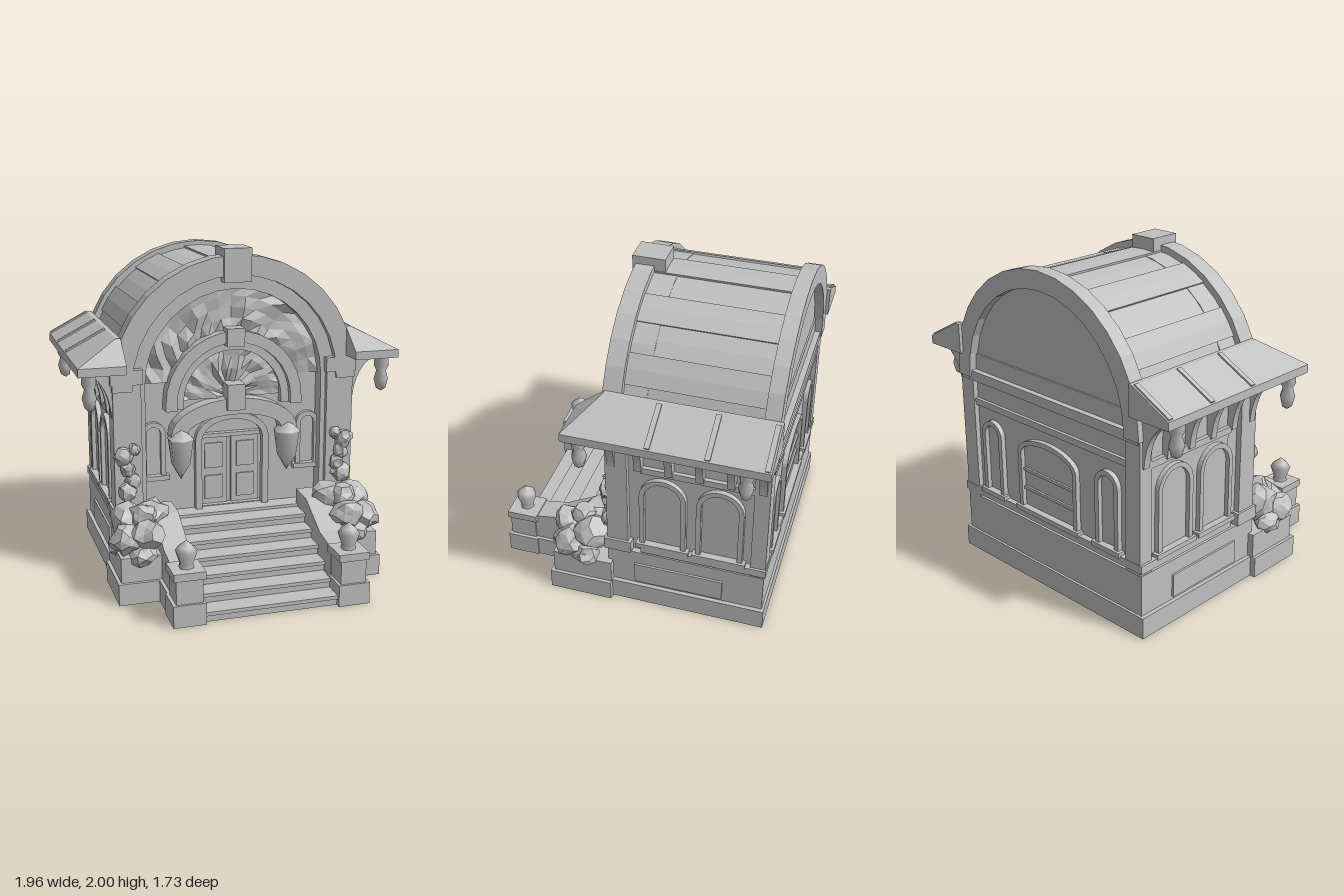
import * as THREE from 'three';

const stone = new THREE.MeshStandardMaterial({ color: 0xc0c0c0 });
stone.name = 'pale stone';
const PI = Math.PI;

// repeatable noise from a position, -1..1
const hash = (x, y, z) => {
  const s = Math.sin(Math.round(x * 500) * 12.99 + Math.round(y * 500) * 78.23 + Math.round(z * 500) * 37.72) * 43758.5;
  return (s - Math.floor(s)) * 2 - 1;
};

// arched outline standing on yb, springing at cy
function archShape(r, cy, yb, n = r) {
  const s = new THREE.Shape();
  s.moveTo(r, yb);
  s.lineTo(r, cy);
  s.absellipse(0, cy, r, n, 0, PI, false);
  s.lineTo(-r, yb);
  return s;
}

// arched band: outer radius, inner radius, spring height, foot height, rise ratio
function bandShape(ro, ri, cy, yb, k = 1) {
  const s = new THREE.Shape();
  s.moveTo(ro, yb);
  s.lineTo(ro, cy);
  for (let i = 1; i <= 16; i++) s.lineTo(ro * Math.cos(PI * i / 16), cy + k * ro * Math.sin(PI * i / 16));
  s.lineTo(-ro, yb);
  s.lineTo(-ri, yb);
  for (let i = 16; i >= 0; i--) s.lineTo(ri * Math.cos(PI * i / 16), cy + (ro * k - (ro - ri)) * Math.sin(PI * i / 16));
  s.lineTo(ri, yb);
  return s;
}

const extrude = (shape, depth) =>
  new THREE.ExtrudeGeometry(shape, { depth, bevelEnabled: false, curveSegments: 10 });

export function createModel() {
  const model = new THREE.Group();
  model.name = 'archedShrine';

  const add = (name, geo, x = 0, y = 0, z = 0, parent = model) => {
    const m = new THREE.Mesh(geo, stone);
    m.name = name;
    m.position.set(x, y, z);
    parent.add(m);
    return m;
  };
  // box from its limits
  const box = (name, x0, x1, y0, y1, z0, z1, parent = model) =>
    add(name, new THREE.BoxGeometry(Math.abs(x1 - x0), y1 - y0, z1 - z0), (x0 + x1) / 2, (y0 + y1) / 2, (z0 + z1) / 2, parent);
  // lumpy faceted ball for leaves
  const blob = (name, x, y, z, rx, ry, rz) => {
    const g = new THREE.IcosahedronGeometry(1, 1), p = g.attributes.position;
    for (let i = 0; i < p.count; i++) {
      const a = p.getX(i), b = p.getY(i), c = p.getZ(i);
      const k = 1 + 0.2 * hash(a + x, b + y, c + z);
      p.setXYZ(i, a * k * rx, b * k * ry, c * k * rz);
    }
    g.computeVertexNormals();
    add(name, g, x, y, z);
  };
  // arched window with frame, mullion and sill
  const archWindow = (w, yb, cy, k, x, z, rot, bars) => {
    const g = new THREE.Group();
    g.name = 'archedWindow';
    g.position.set(x, 0, z);
    g.rotation.y = rot;
    add('windowFrame', extrude(bandShape(w, w - 0.03, cy, yb, k), 0.035), 0, 0, 0, g);
    add('windowPane', extrude(archShape(w - 0.02, cy, yb, w * k - 0.02), 0.008), 0, 0, 0, g);
    box('windowSill', -w - 0.02, w + 0.02, yb - 0.03, yb, 0, 0.05, g);
    if (bars) {
      for (const b of [0.33, 0.67]) box('windowBar', -w + 0.02, w - 0.02, yb + (cy - yb) * b - 0.01, yb + (cy - yb) * b + 0.01, 0, 0.02, g);
    }
    model.add(g);
  };

  // plinth and walls
  box('footing', -0.78, 0.78, 0, 0.13, -0.84, 0.15);
  box('plinth', -0.755, 0.755, 0.13, 0.38, -0.825, 0.13);
  box('walls', -0.725, 0.725, 0.38, 1.32, -0.80, -0.08);
  box('plinthLedge', -0.765, 0.765, 0.4, 0.45, -0.835, -0.08);
  box('wallCornice', -0.75, 0.75, 1.0, 1.04, -0.82, -0.08);
  box('backCornice', -0.74, 0.74, 1.16, 1.22, -0.835, -0.7);
  add('vaultCore', extrude(archShape(0.69, 1.2, 1.15), 0.72), 0, 0, -0.79);

  // roof planks following the vault
  for (let i = 0; i < 11; i++) {
    const a0 = PI * (0.07 + 0.86 * i / 11), a1 = PI * (0.07 + 0.86 * (i + 1) / 11);
    const r = 0.715 + (i % 2) * 0.012, s = new THREE.Shape();
    s.moveTo(0.66 * Math.cos(a0), 0.66 * Math.sin(a0));
    for (const a of [a0, (a0 + a1) / 2, a1]) s.lineTo(r * Math.cos(a), r * Math.sin(a));
    s.lineTo(0.66 * Math.cos(a1), 0.66 * Math.sin(a1));
    add('roofPlank', extrude(s, 0.86), 0, 1.2, -0.80);
  }

  // end arches of the roof
  add('backArch', extrude(bandShape(0.755, 0.645, 1.2, 1.18), 0.09), 0, 0, -0.845);
  add('frontArchInner', extrude(bandShape(0.72, 0.555, 1.2, 0.38), 0.20), 0, 0, -0.10);
  add('frontArchOuter', extrude(bandShape(0.76, 0.64, 1.2, 1.18), 0.11), 0, 0, 0.035);
  box('roofKeystone', -0.085, 0.085, 1.80, 2.0, -0.03, 0.165);

  // recessed front wall and its rough stonework
  const recess = archShape(0.57, 1.2, 0.38);
  recess.holes.push(archShape(0.21, 0.82, 0.385, 0.15));
  add('frontWall', extrude(recess, 0.07), 0, 0, -0.06);
  const rough = (name, r0, r1, cy, z) => {
    const g = new THREE.RingGeometry(r0, r1, 18, 4, 0, PI).toNonIndexed(), p = g.attributes.position;
    for (let i = 0; i < p.count; i++) p.setZ(i, 0.022 + 0.022 * hash(p.getX(i), p.getY(i), 0));
    g.computeVertexNormals();
    add(name, g, 0, cy, z);
  };
  rough('upperStonework', 0.30, 0.57, 1.2, 0.01);
  rough('lowerStonework', 0.02, 0.34, 1.08, 0.01);

  // inner arch, door hood and keystones
  add('innerArch', extrude(bandShape(0.43, 0.36, 1.07, 1.03), 0.10), 0, 0, 0.0);
  add('innerArchLip', extrude(bandShape(0.37, 0.31, 1.07, 1.03), 0.06), 0, 0, 0.0);
  box('innerKeystone', -0.055, 0.055, 1.41, 1.52, 0, 0.13);
  add('doorHood', extrude(bandShape(0.40, 0.30, 0.88, 0.86, 0.52), 0.11), 0, 0, 0.0);
  box('hoodKeystone', -0.055, 0.055, 1.02, 1.18, 0, 0.14);

  // door
  add('doorFrame', extrude(bandShape(0.235, 0.195, 0.82, 0.38, 0.7), 0.05), 0, 0, 0.0);
  add('door', extrude(archShape(0.22, 0.82, 0.38, 0.16), 0.03), 0, 0, -0.07);
  box('doorLintel', -0.2, 0.2, 0.82, 0.845, -0.05, 0.0);
  for (const s of [-1, 1]) {
    box('doorLeaf', s * 0.012, s * 0.19, 0.38, 0.82, -0.05, -0.025);
    box('doorPanelUpper', s * 0.045, s * 0.16, 0.62, 0.78, -0.03, -0.015);
    box('doorPanelLower', s * 0.045, s * 0.16, 0.42, 0.57, -0.03, -0.015);
  }

  // steps
  for (let i = 0; i < 6; i++) {
    box('step', -0.41, 0.41, 0, 0.06 + i * 0.06, 0.1, 0.83 - i * 0.115);
    box('stepNosing', -0.41, 0.41, 0.04 + i * 0.06, 0.062 + i * 0.06, 0.1, 0.845 - i * 0.115);
  }

  for (const s of [-1, 1]) {
    // front and back corner pillars
    box('frontPillar', s * 0.585, s * 0.755, 0.38, 1.22, -0.0, 0.13);
    box('pillarCapital', s * 0.575, s * 0.77, 1.22, 1.31, 0.0, 0.145);
    box('pillarBase', s * 0.575, s * 0.77, 0.38, 0.46, -0.02, 0.145);
    box('backPillar', s * 0.64, s * 0.75, 0.38, 1.22, -0.83, -0.74);

    // side eave: slab, hipped slope, battens
    box('eaveSlab', s * 0.70, s * 0.98, 1.32, 1.37, -0.865, 0.30);
    const slope = new THREE.BoxGeometry(0.28, 0.13, 1.165), p = slope.attributes.position;
    for (let i = 0; i < p.count; i++) {
      const top = p.getY(i) > 0, front = p.getZ(i) > 0, outer = p.getX(i) * s > 0;
      if (top && outer) p.setX(i, -s * 0.11);
      if (top && front) p.setZ(i, 0.415);
    }
    slope.computeVertexNormals();
    add('eaveSlope', slope, s * 0.84, 1.435, -0.2825);
    for (const z of [-0.84, -0.52, -0.19]) {
      add('eaveBatten', new THREE.BoxGeometry(0.27, 0.02, 0.03), s * 0.852, 1.436, z).rotation.z = -s * 0.48;
    }

    // curved brackets below the eave
    const b = new THREE.Shape();
    b.moveTo(0, 1.02);
    b.lineTo(0.04, 1.02);
    b.quadraticCurveTo(0.05, 1.2, 0.15, 1.28);
    b.lineTo(0.15, 1.33);
    b.lineTo(0, 1.33);
    for (const z of [0.09, -0.07, -0.25, -0.43, -0.61, -0.79]) {
      const m = add('eaveBracket', extrude(b, 0.045), s * 0.72, 0, s > 0 ? z - 0.02 : z + 0.025);
      if (s < 0) m.rotation.y = PI;
    }
    // turned pendants at the eave ends
    const drop = new THREE.LatheGeometry([[0, 0], [0.03, 0.02], [0.045, 0.08], [0.03, 0.13], [0.045, 0.16], [0.045, 0.23]]
      .map(q => new THREE.Vector2(...q)), 7);
    for (const z of [0.22, -0.72]) add('eavePendant', drop, s * 0.905, 1.1, z);

    // side, back and front windows
    for (const z of [-0.21, -0.55]) archWindow(0.14, 0.47, 0.83, 1, s * 0.72, z, s * PI / 2, false);
    archWindow(0.09, 0.47, 0.84, 1, s * 0.49, -0.795, PI, false);
    archWindow(0.075, 0.62, 0.88, 1, s * 0.495, 0.005, 0, false);
    box('plinthPanel', s * 0.75, s * 0.768, 0.15, 0.29, -0.58, -0.04);

    // hanging lantern beside the door
    const lamp = new THREE.LatheGeometry([[0, 0], [0.06, 0.1], [0.08, 0.25], [0.085, 0.26], [0, 0.33]]
      .map(q => new THREE.Vector2(...q)), 6);
    add('lantern', lamp, s * 0.34, 0.6, 0.09);
    box('lanternArm', s * 0.32, s * 0.36, 0.86, 0.9, 0, 0.09);

    // stair cheek wall, sloped up to the building
    const c = new THREE.Shape();
    c.moveTo(0.10, 0);
    c.lineTo(0.10, 0.47);
    c.lineTo(0.28, 0.46);
    c.lineTo(0.52, 0.33);
    c.lineTo(0.70, 0.30);
    c.lineTo(0.70, 0);
    const cheek = extrude(c, 0.15);
    cheek.rotateY(-PI / 2);
    add('stairCheek', cheek, s > 0 ? 0.555 : -0.405, 0, 0);
    box('stairCheekFoot', s * 0.4, s * 0.575, 0, 0.13, 0.1, 0.7);
    box('stairPostFoot', s * 0.395, s * 0.585, 0, 0.13, 0.67, 0.865);
    box('stairPost', s * 0.41, s * 0.565, 0.13, 0.27, 0.685, 0.85);
    box('stairPostCap', s * 0.395, s * 0.58, 0.27, 0.315, 0.67, 0.86);
    const finial = new THREE.LatheGeometry([[0.045, 0], [0.04, 0.03], [0.065, 0.1], [0.045, 0.13], [0, 0.165]]
      .map(q => new THREE.Vector2(...q)), 6);
    add('stairFinial', finial, s * 0.485, 0.31, 0.765);

    // planter with shrub, and climbing vine on the pillar
    box('planterFoot', s * 0.5, s * 0.815, 0, 0.13, 0.1, 0.49);
    box('planter', s * 0.5, s * 0.795, 0.13, 0.28, 0.1, 0.47);
    for (const [x, y, z, r] of [[0.74, 0.36, 0.38, 0.1], [0.62, 0.4, 0.42, 0.1], [0.7, 0.43, 0.24, 0.12],
      [0.56, 0.46, 0.25, 0.1], [0.63, 0.48, 0.32, 0.08], [0.76, 0.3, 0.27, 0.08], [0.66, 0.28, 0.44, 0.08]])
      blob('shrub', s * x, y, z, r, r * 0.85, r);
    for (const [x, y, r] of [[0.68, 0.57, 0.06], [0.65, 0.64, 0.045], [0.68, 0.71, 0.045], [0.70, 0.79, 0.055], [0.64, 0.83, 0.035]])
      blob('vine', s * x, y, 0.145, r, r * 1.1, 0.04);
  }
  archWindow(0.25, 0.47, 0.82, 0.45, 0, -0.795, PI, true);

  return model;
}
